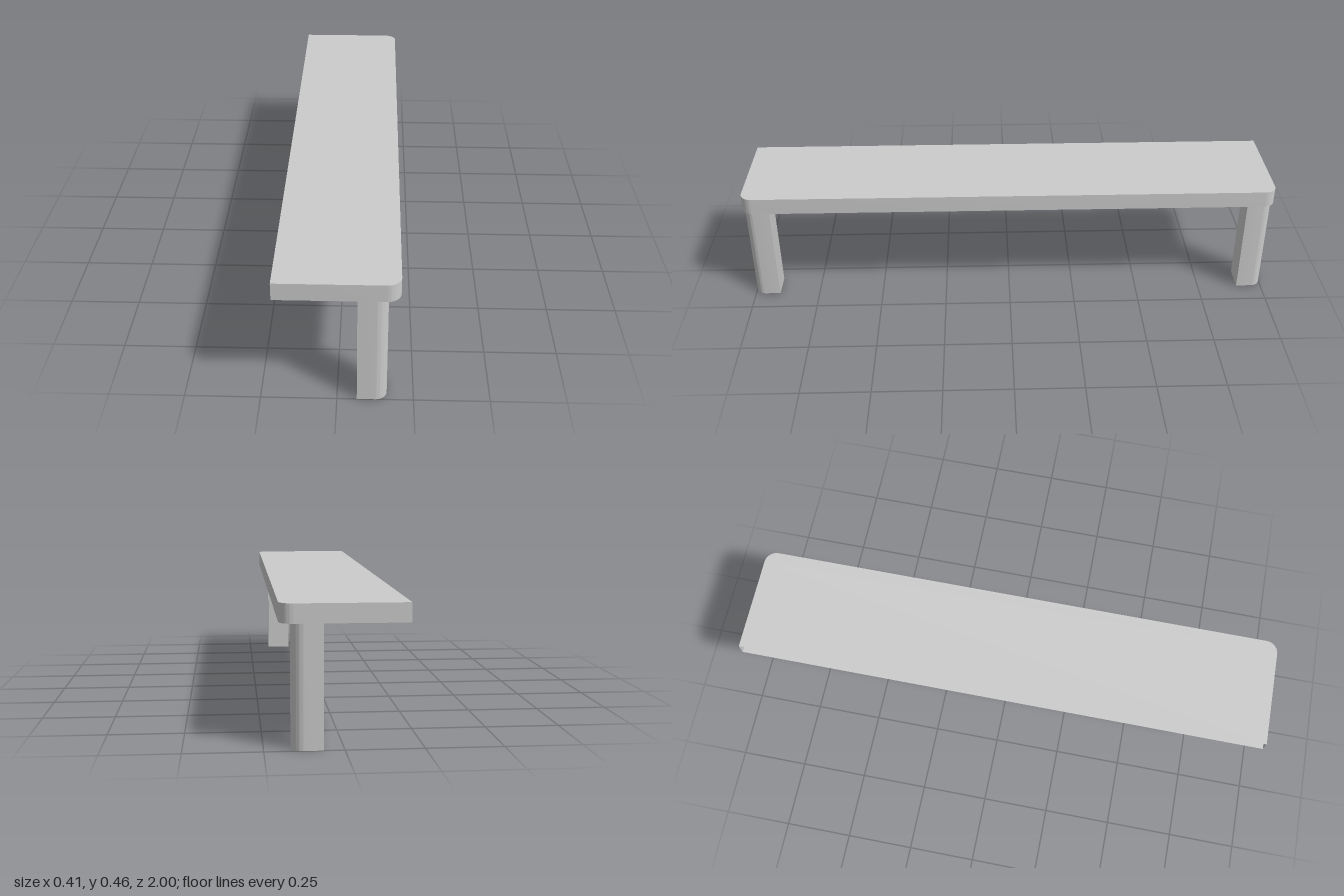
import * as THREE from 'three';
import { toCreasedNormals } from 'three/addons/utils/BufferGeometryUtils.js';

const BACK = -0.203, EDGE = 0.202, UNDER = 0.394, TOP = 0.456;

// Raise a floor-plan shape (x, -z) from one height to another
function raise(shape, y0, y1) {
  const geo = new THREE.ExtrudeGeometry(shape, { depth: y1 - y0, bevelEnabled: false, curveSegments: 10 });
  geo.rotateX(-Math.PI / 2).translate(0, y0, 0);
  return toCreasedNormals(geo, Math.PI / 5);
}

// Drop the triangles lying in the plane x = value, leaving that side open
function openSide(geo, value) {
  const pos = geo.attributes.position, nor = geo.attributes.normal;
  const p = [], n = [];
  for (let i = 0; i < pos.count; i += 3) {
    if ([0, 1, 2].every((k) => Math.abs(pos.getX(i + k) - value) < 1e-4)) continue;
    for (let k = i; k < i + 3; k++) {
      p.push(pos.getX(k), pos.getY(k), pos.getZ(k));
      n.push(nor.getX(k), nor.getY(k), nor.getZ(k));
    }
  }
  const out = new THREE.BufferGeometry();
  out.setAttribute('position', new THREE.Float32BufferAttribute(p, 3));
  out.setAttribute('normal', new THREE.Float32BufferAttribute(n, 3));
  return out;
}

export function createModel() {
  const group = new THREE.Group();
  group.name = 'wallShelfBench';
  const material = new THREE.MeshStandardMaterial({ color: 0xcccccc, side: THREE.DoubleSide });
  const add = (name, geo) => {
    const mesh = new THREE.Mesh(geo, material);
    mesh.name = name;
    group.add(mesh);
  };

  // Hollow slab: two rounded corners on the +x edge, open along the -x edge
  const r = 0.045;
  const slab = new THREE.Shape();
  slab.moveTo(BACK, -1);
  slab.lineTo(EDGE - r, -1);
  slab.absarc(EDGE - r, -1 + r, r, -Math.PI / 2, 0);
  slab.lineTo(EDGE, 1 - r);
  slab.absarc(EDGE - r, 1 - r, r, 0, Math.PI / 2);
  slab.lineTo(BACK, 1);
  slab.closePath();
  add('top', openSide(raise(slab, UNDER, TOP), BACK));

  // Legs flush with each end, only the outer corner rounded
  const x0 = 0.065, x1 = 0.163, inner = 0.905, lr = 0.038;
  for (const [name, s] of [['frontLeg', -1], ['backLeg', 1]]) {
    const leg = new THREE.Shape();
    leg.moveTo(x0, s * inner);
    leg.lineTo(x1, s * inner);
    leg.lineTo(x1, s * (1 - lr));
    leg.absarc(x1 - lr, s * (1 - lr), lr, 0, s * Math.PI / 2, s < 0);
    leg.lineTo(x0, s);
    leg.closePath();
    add(name, raise(leg, 0, UNDER));
  }
  return group;
}
